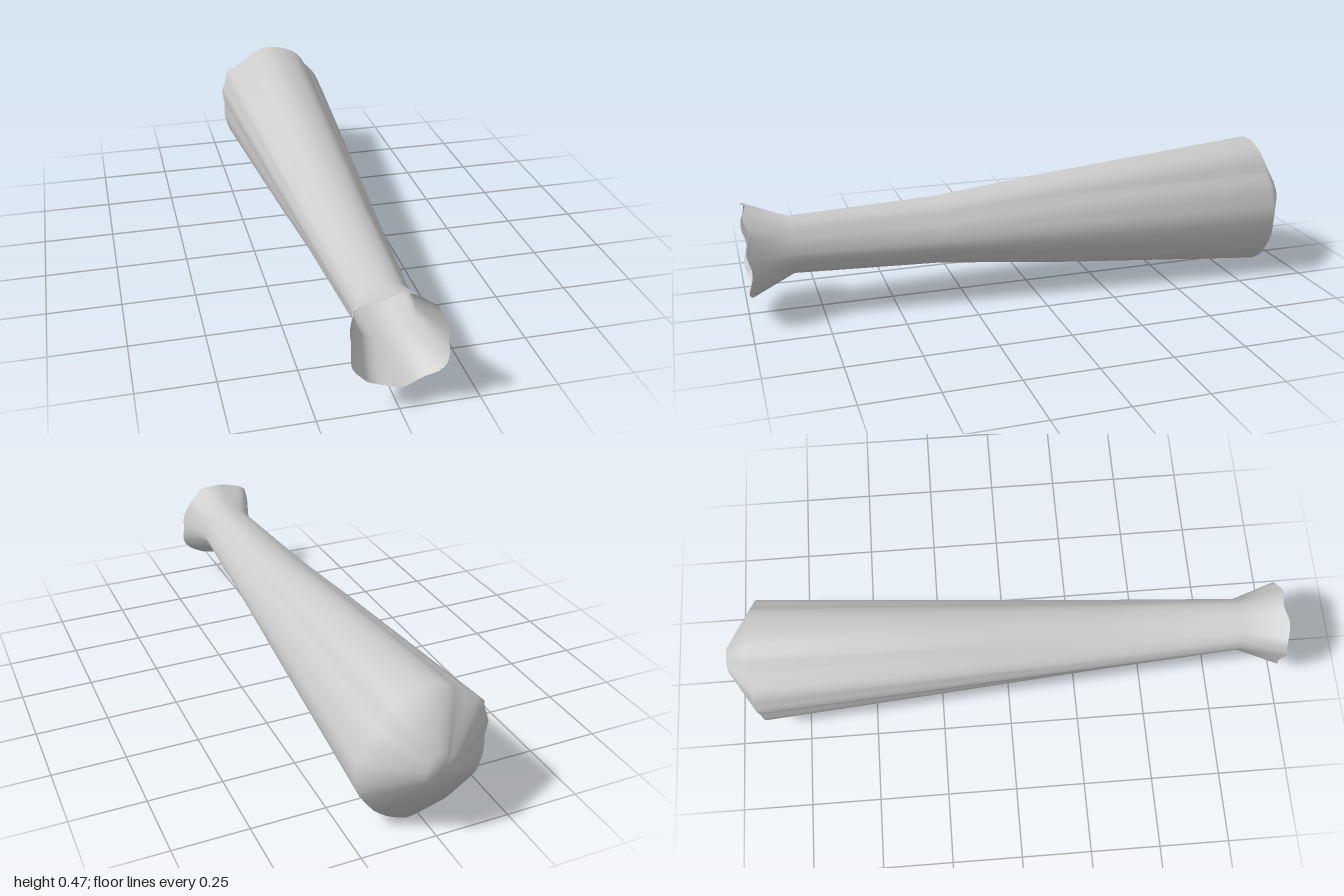
import * as THREE from 'three';

const SIDES = 54;
const CY = 0.237; // height of the long axis

// Hand-shaped outlines as [x, y] pairs, counter-clockwise seen from +z
const MOUTH = [[0, .39], [-.05, .382], [-.09, .372], [-.135, .36], [-.143, .33], [-.153, .29], [-.147, .25],
  [-.145, .21], [-.143, .16], [-.115, .13], [-.09, .1], [-.03, .083], [.025, .078], [.08, .095], [.125, .118],
  [.145, .145], [.15, .19], [.145, .215], [.14, .26], [.125, .3], [.11, .33], [.08, .355], [.05, .38]];
const NECK = [[.02, .335], [-.03, .333], [-.07, .315], [-.095, .29], [-.103, .265], [-.095, .22], [-.085, .19],
  [-.07, .165], [-.03, .147], [0, .142], [.05, .155], [.075, .185], [.095, .22], [.09, .245], [.07, .29], [.05, .32]];
const SHOULDER = [[0, .473], [-.05, .468], [-.09, .45], [-.115, .425], [-.165, .395], [-.2, .37], [-.205, .335],
  [-.223, .287], [-.212, .245], [-.212, .165], [-.195, .11], [-.14, .07], [-.095, .038], [-.05, .025], [0, .01],
  [.038, .002], [.09, .02], [.16, .07], [.185, .105], [.212, .145], [.223, .245], [.205, .29], [.17, .355],
  [.14, .385], [.12, .42], [.09, .445], [.045, .463]];

// Resample an outline at even angles about the axis
function resample(outline) {
  const polar = outline.map(([x, y]) => {
    const a = Math.atan2(y - CY, x);
    return [a < 0 ? a + 2 * Math.PI : a, Math.hypot(x, y - CY)];
  }).sort((p, q) => p[0] - q[0]);
  const first = polar[0], last = polar[polar.length - 1];
  polar.unshift([last[0] - 2 * Math.PI, last[1]]);
  polar.push([first[0] + 2 * Math.PI, first[1]]);
  return Array.from({ length: SIDES }, (_, i) => {
    const a = i / SIDES * 2 * Math.PI;
    const k = polar.findIndex(p => p[0] > a);
    const [a0, r0] = polar[k - 1], [a1, r1] = polar[k];
    const r = r0 + (r1 - r0) * (a - a0) / (a1 - a0);
    return [r * Math.cos(a), r * Math.sin(a)];
  });
}

export function createModel() {
  const mouth = resample(MOUTH), neck = resample(NECK), shoulder = resample(SHOULDER);
  // Blend neck to shoulder, separately across and upwards
  const blend = (fx, fy) => neck.map(([x, y], i) =>
    [x + (shoulder[i][0] - x) * fx, y + (shoulder[i][1] - y) * fy]);

  // Cross-sections from the flared mouth to the closed end
  const rings = [
    [0.99, mouth],
    [0.84, neck],
    [0.33, blend(0.29, 0.13)],
    [-0.08, blend(0.53, 0.47)],
    [-0.89, shoulder],
    [-1, shoulder.map(([x, y]) => [x * 0.24, y * 0.24 + 0.01])],
  ];

  const positions = [], indices = [];
  rings.forEach(([z, pts], j) => pts.forEach(([x, y], i) => {
    const ripple = j === 0 ? 0.007 * Math.sin(i * 7 * 2 * Math.PI / SIDES) : 0; // uneven lip
    positions.push(x, y + CY, z + ripple);
  }));
  for (let j = 0; j < rings.length - 1; j++) {
    for (let i = 0; i < SIDES; i++) {
      const n = (i + 1) % SIDES;
      const a = j * SIDES + i, b = j * SIDES + n, c = a + SIDES, d = b + SIDES;
      indices.push(a, c, b, b, c, d);
    }
  }
  // Flat centre of the closed end
  const tip = positions.length / 3, base = (rings.length - 1) * SIDES;
  positions.push(0, CY + 0.01, -1);
  for (let i = 0; i < SIDES; i++) indices.push(base + i, tip, base + (i + 1) % SIDES);

  const geometry = new THREE.BufferGeometry();
  geometry.setAttribute('position', new THREE.Float32BufferAttribute(positions, 3));
  geometry.setIndex(indices);
  geometry.computeVertexNormals();

  const shell = new THREE.Mesh(geometry,
    new THREE.MeshStandardMaterial({ color: 0xcccccc, side: THREE.DoubleSide }));
  shell.name = 'flaredShell';
  const group = new THREE.Group();
  group.name = 'hollowClub';
  group.add(shell);
  return group;
}
